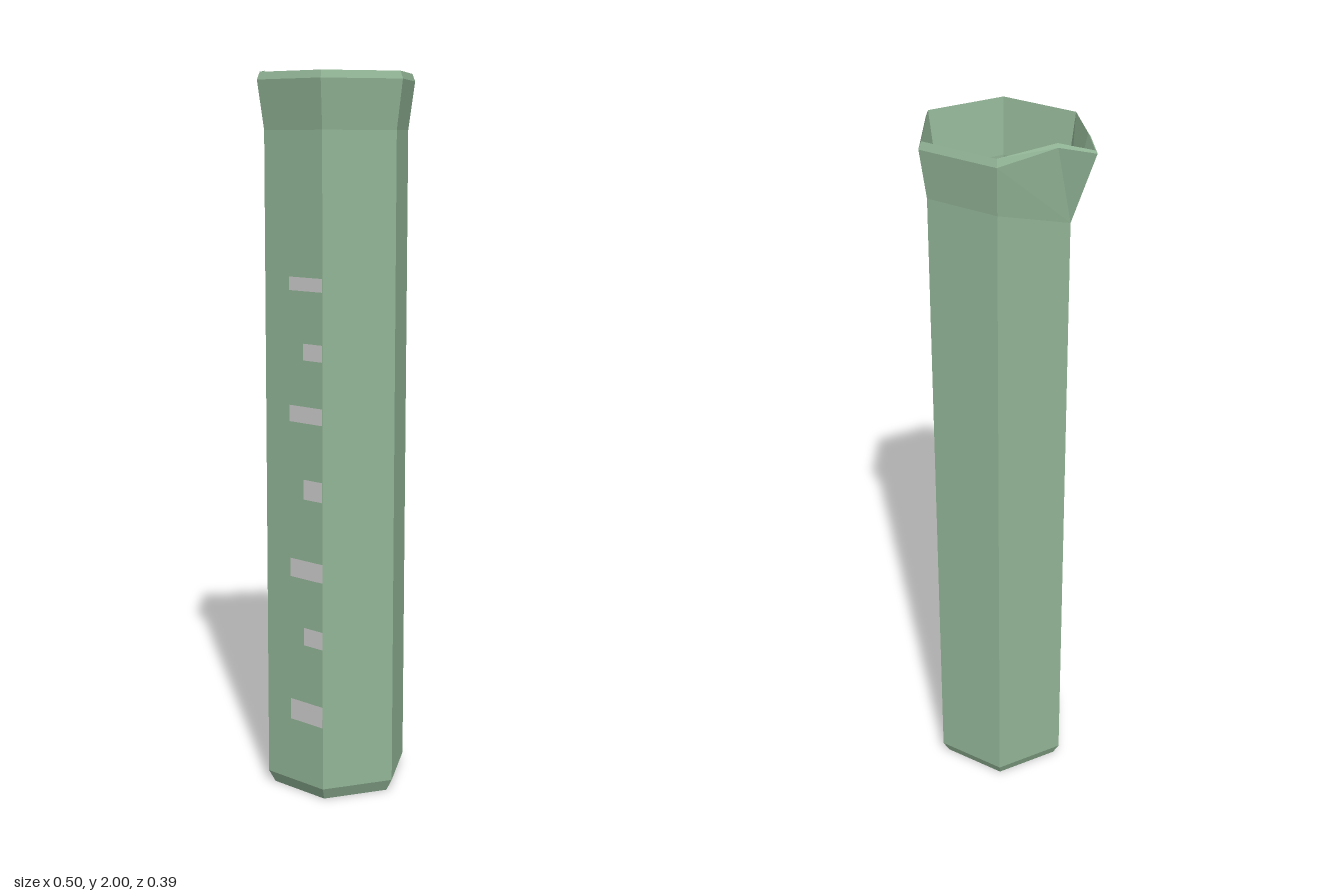
import * as THREE from 'three';

const CX = 0.025; // axis of the hexagonal tube, offset to make room for the spout

// Hexagonal ring; its left corner is tripled so that it can open into the spout
function ring(r, y, cornerY = y, spout = null) {
  const p = (deg, h = y) => {
    const a = THREE.MathUtils.degToRad(deg);
    return new THREE.Vector3(CX + r * Math.cos(a), h, r * Math.sin(a));
  };
  const corner = spout
    ? spout.map((c) => new THREE.Vector3(...c))
    : [p(180, cornerY), p(180, cornerY), p(180, cornerY)];
  return [p(0), p(60), p(120), ...corner, p(240), p(300)];
}

// Flat-shaded skin over consecutive rings, skipping collapsed triangles
function skin(rings) {
  const pos = [];
  const tri = (a, b, c) => {
    const area = b.clone().sub(a).cross(c.clone().sub(a)).length();
    if (area > 1e-8) for (const v of [a, b, c]) pos.push(v.x, v.y, v.z);
  };
  for (let i = 0; i < rings.length - 1; i++) {
    const lo = rings[i], up = rings[i + 1], n = lo.length;
    for (let j = 0; j < n; j++) {
      const k = (j + 1) % n;
      tri(lo[j], up[j], up[k]);
      tri(lo[j], up[k], lo[k]);
    }
  }
  const g = new THREE.BufferGeometry();
  g.setAttribute('position', new THREE.Float32BufferAttribute(pos, 3));
  g.computeVertexNormals();
  return g;
}

export function createModel() {
  const group = new THREE.Group();
  group.name = 'measuringCylinder';
  const glass = new THREE.MeshStandardMaterial({ color: 0x92b596, flatShading: true });
  const print = new THREE.MeshStandardMaterial({ color: 0xcccccc, side: THREE.DoubleSide });

  // Vessel: base, outer wall, flared rim with spout, inner wall, floor
  const vessel = new THREE.Mesh(skin([
    ring(0, 0.005),
    ring(0.186, 0.005),
    ring(0.205, 0.04),
    ring(0.205, 1.84, 1.78),
    ring(0.224, 1.97, 1.97, [[-0.2, 1.99, 0.055], [-0.25, 1.975, 0], [-0.17, 1.99, -0.05]]),
    ring(0.216, 1.99, 1.99, [[-0.194, 2, 0.052], [-0.243, 1.982, 0], [-0.166, 2, -0.046]]),
    ring(0.195, 1.84, 1.79),
    ring(0.195, 0.05),
    ring(0.18, 0.02),
    ring(0, 0.02),
  ]), glass);
  vessel.name = 'vessel';
  group.add(vessel);

  // Graduation marks on the front wall: [centre height, thickness], long and short in turn
  const marks = new THREE.Group();
  marks.name = 'graduationMarks';
  const levels = [[0.25, 0.06], [0.47, 0.05], [0.66, 0.052], [0.885, 0.055],
    [1.09, 0.045], [1.26, 0.045], [1.44, 0.036]];
  levels.forEach(([y, h], i) => {
    const w = i % 2 ? 0.068 : 0.117;
    const mark = new THREE.Mesh(new THREE.PlaneGeometry(w, h), print);
    mark.name = i % 2 ? 'shortMark' : 'longMark';
    mark.position.set(0.128 - w / 2, y, 0.1795);
    marks.add(mark);
  });
  group.add(marks);
  return group;
}
